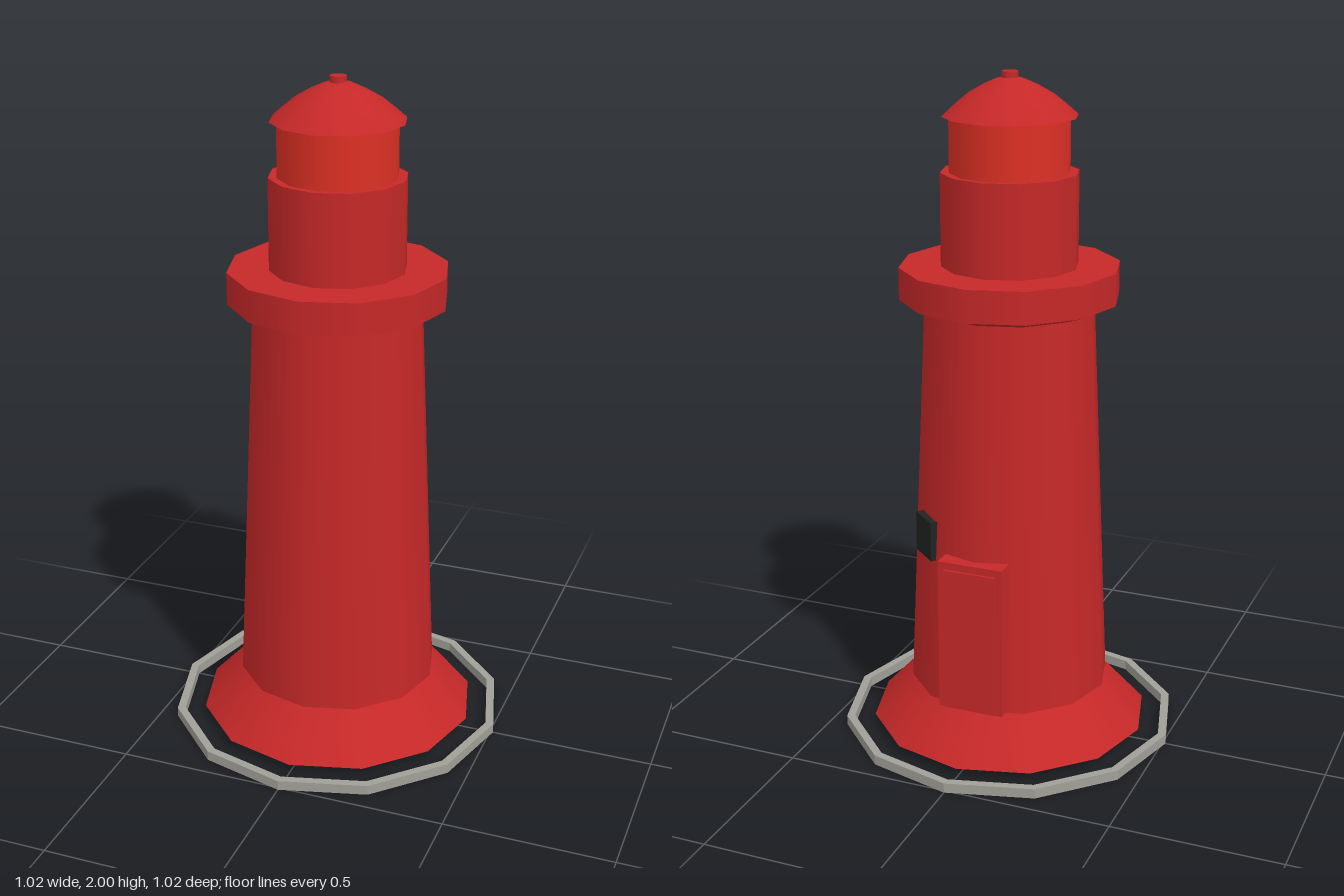
import * as THREE from 'three';

const SIDES = 12;

function material(name, color, side = THREE.FrontSide) {
  const m = new THREE.MeshStandardMaterial({ color, side });
  m.name = name;
  return m;
}

export function createModel() {
  const model = new THREE.Group();
  model.name = 'lighthouse';

  const red = material('towerRed', 0xc62828, THREE.DoubleSide);
  const bright = material('lanternRed', 0xdd3024, THREE.DoubleSide);
  const grey = material('stoneGrey', 0xa09f97);
  const black = material('windowBlack', 0x222424);

  function add(name, geometry, mat, x = 0, y = 0, z = 0) {
    const mesh = new THREE.Mesh(geometry, mat);
    mesh.name = name;
    mesh.position.set(x, y, z);
    model.add(mesh);
    return mesh;
  }

  // Twelve-sided tapered section between two heights
  function section(name, r0, y0, r1, y1, mat, open = true) {
    const g = new THREE.CylinderGeometry(r1, r0, y1 - y0, SIDES, 1, open);
    return add(name, g, mat, 0, (y0 + y1) / 2, 0);
  }

  // Flat ring, its face turned up or down
  function annulus(name, inner, outer, y, mat, up = true) {
    const g = new THREE.RingGeometry(inner, outer, SIDES, 1);
    g.rotateX(up ? -Math.PI / 2 : Math.PI / 2);
    return add(name, g, mat, 0, y, 0);
  }

  // Low ring around the base
  const curb = [[0.485, 0], [0.51, 0], [0.51, 0.03], [0.485, 0.03], [0.485, 0]]
    .map(([r, y]) => new THREE.Vector2(r, y));
  const curbGeometry = new THREE.LatheGeometry(curb, SIDES).toNonIndexed();
  curbGeometry.computeVertexNormals();
  add('baseRing', curbGeometry, grey);

  // Hollow body
  section('skirt', 0.422, 0.03, 0.302, 0.16, red);
  section('tower', 0.302, 0.16, 0.25, 1.335, red);

  // Gallery with sloping underside
  section('galleryUnderside', 0.25, 1.33, 0.322, 1.355, red);
  section('galleryRim', 0.322, 1.355, 0.322, 1.45, red);
  annulus('galleryFloor', 0.19, 0.322, 1.45, red);

  // Lantern room
  section('lanternBase', 0.2, 1.45, 0.2, 1.72, red);
  annulus('lanternLedge', 0.17, 0.2, 1.718, red);
  section('lantern', 0.174, 1.718, 0.174, 1.88, bright);

  // Domed roof and finial
  const dome = [[0.195, 1.876], [0.165, 1.903], [0.125, 1.935], [0.08, 1.961], [0.04, 1.979], [0, 1.987]]
    .map(([r, y]) => new THREE.Vector2(r, y));
  add('roof', new THREE.LatheGeometry(dome, SIDES), red);
  annulus('roofUnderside', 0.16, 0.195, 1.876, red, false);
  section('finial', 0.024, 1.975, 0.024, 2.0, red, false);

  // Door at the back: frame with a raised leaf
  add('doorFrame', new THREE.BoxGeometry(0.2, 0.465, 0.06), red, 0, 0.397, -0.282);
  add('door', new THREE.BoxGeometry(0.16, 0.44, 0.008), red, 0, 0.387, -0.315);

  // Small window beside the door
  const pane = add('window', new THREE.BoxGeometry(0.105, 0.12, 0.026), black, 0.176, 0.66, -0.214);
  pane.rotation.y = Math.PI - THREE.MathUtils.degToRad(42);

  return model;
}
